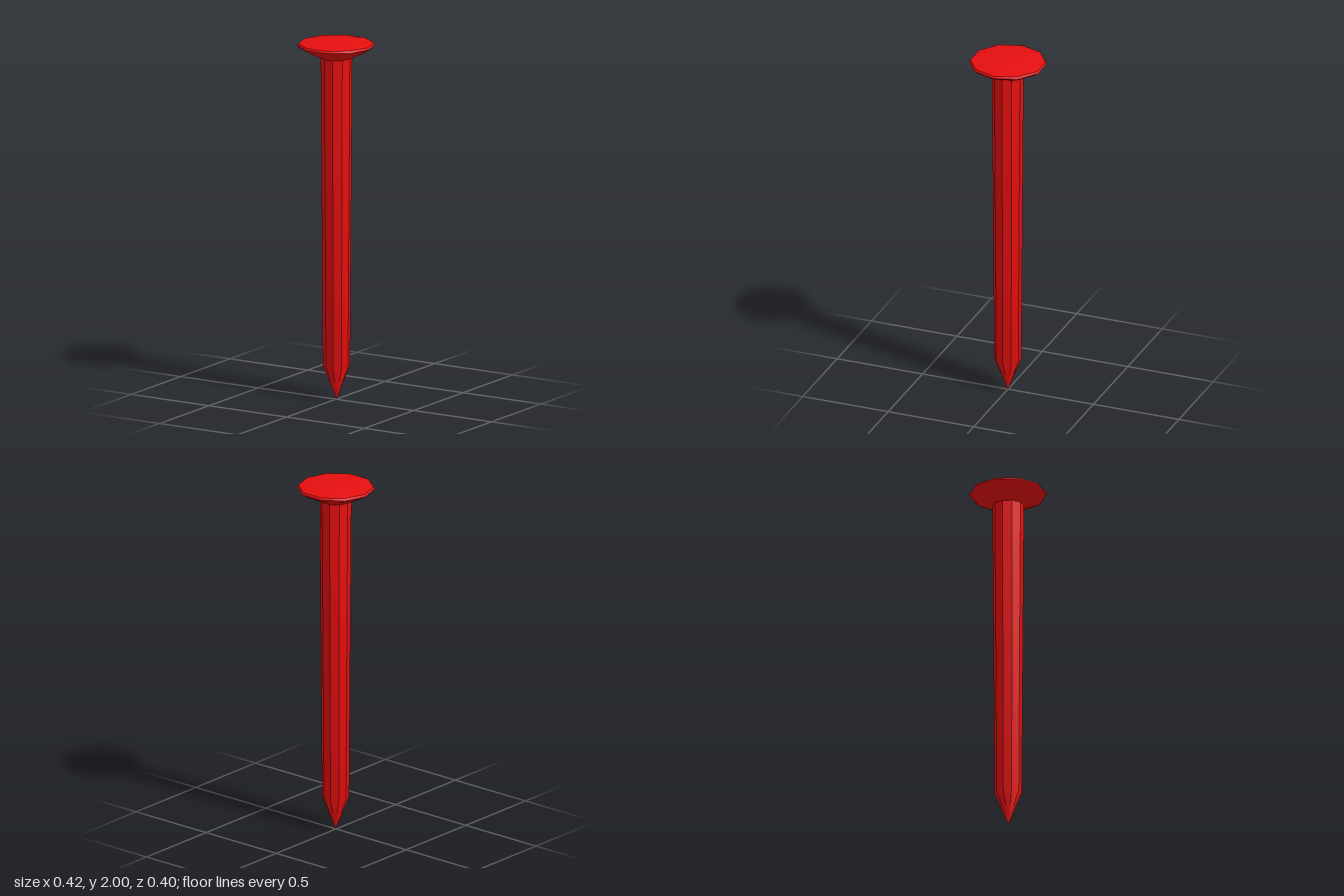
import * as THREE from 'three';
import { toCreasedNormals } from 'three/addons/utils/BufferGeometryUtils.js';

const SIDES = 10;

// Ten-sided turned part with a corner on the x axis; profile runs upwards
function turned(name, profile, crease, material) {
  const points = profile.map(([r, y]) => new THREE.Vector2(r, y));
  const lathe = new THREE.LatheGeometry(points, SIDES, Math.PI / 2);
  const mesh = new THREE.Mesh(toCreasedNormals(lathe, crease), material);
  mesh.name = name;
  return mesh;
}

export function createModel() {
  const group = new THREE.Group();
  group.name = 'nail';
  const red = new THREE.MeshStandardMaterial({ color: 0xe60f0f });

  // Tapered shank with faceted sides and a pointed tip
  const shank = turned('shank', [[0, 0], [0.074, 0.19], [0.086, 1.91]], 0.4, red);
  shank.position.x = 0.003;

  // Broad head: flared underside, thin rim, slightly domed top
  const head = turned('head', [
    [0.08, 1.903], [0.15, 1.938], [0.2, 1.963], [0.212, 1.975],
    [0.205, 1.986], [0.14, 1.995], [0, 2],
  ], 0.75, red);

  group.add(shank, head);
  return group;
}
